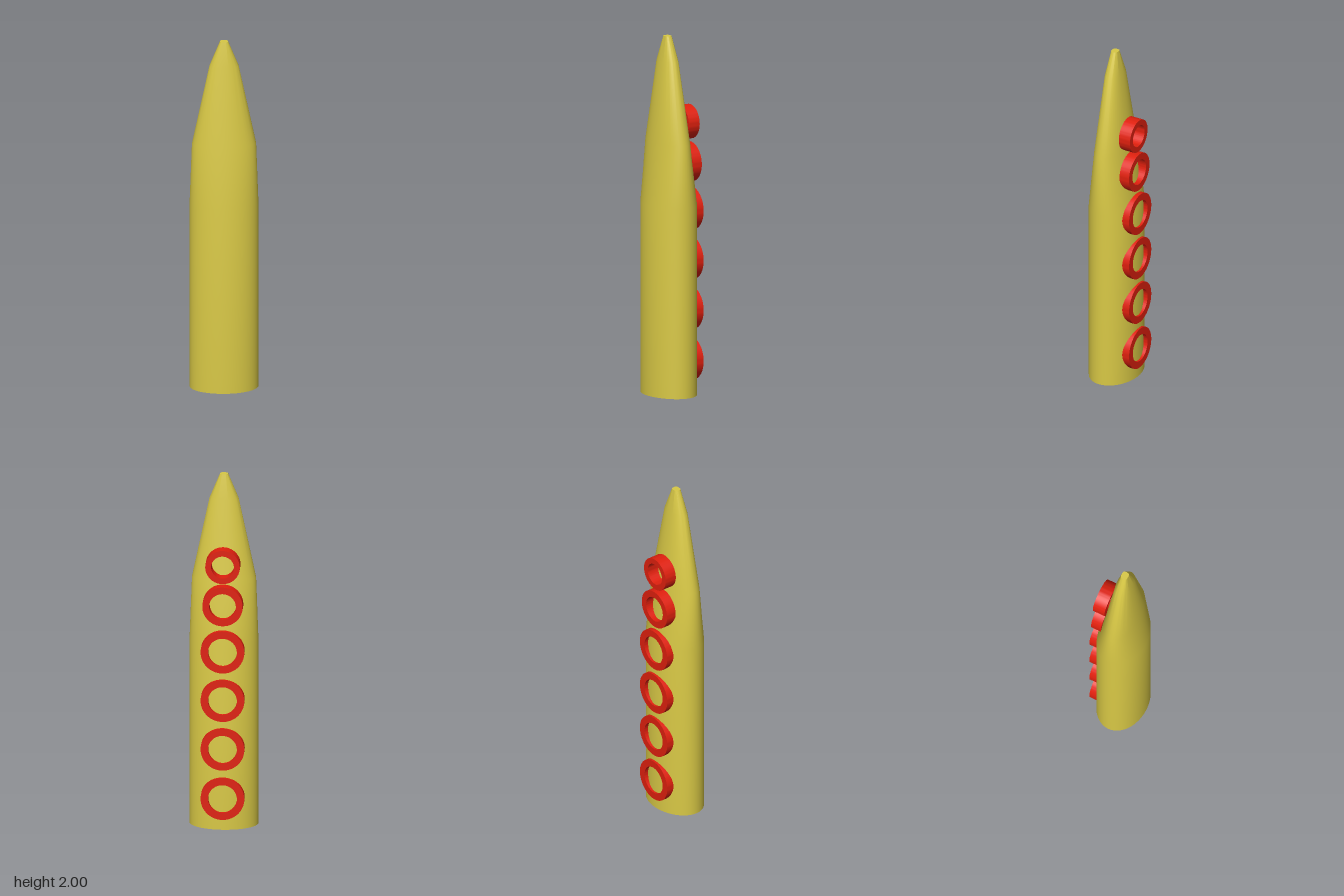
import * as THREE from 'three';
import { toCreasedNormals } from 'three/addons/utils/BufferGeometryUtils.js';

// Cross-sections of the body: height, half width, front z, back z, roundness power
const SECTIONS = [
  [0, 0.189, 0.143, -0.133, 1],
  [1.06, 0.189, 0.143, -0.133, 1],
  [1.41, 0.176, 0.1, -0.078, 1],
  [1.86, 0.08, 0.058, -0.032, 0.9],
  [2.0, 0.022, 0.033, -0.006, 0.65],
];

// Rings on the back: height, outer radius, inner z, outer z
const RINGS = [
  [0.18, 0.12, -0.08, -0.145],
  [0.463, 0.12, -0.08, -0.145],
  [0.742, 0.12, -0.08, -0.145],
  [1.02, 0.12, -0.08, -0.145],
  [1.28, 0.111, -0.079, -0.139],
  [1.505, 0.095, -0.065, -0.136],
];

// Elliptical shaft: a cylinder whose levels are moved onto the cross-sections
function bodyGeometry() {
  const n = SECTIONS.length - 1;
  const geo = new THREE.CylinderGeometry(1, 1, n, 48, n);
  const pos = geo.attributes.position;
  const bend = (v, p) => Math.sign(v) * Math.pow(Math.abs(v), p);
  for (let i = 0; i < pos.count; i++) {
    const level = Math.round(pos.getY(i) + n / 2);
    const [y, w, front, back, p] = SECTIONS[level];
    const x = bend(pos.getX(i), p) * w;
    const z = (front + back) / 2 + bend(pos.getZ(i), p) * (front - back) / 2;
    pos.setXYZ(i, x, y, z);
  }
  return toCreasedNormals(geo, 0.5);
}

// Flat-faced ring with a round hole, its axis along z
function ringGeometry(radius, depth) {
  const shape = new THREE.Shape().absarc(0, 0, radius, 0, Math.PI * 2, false);
  shape.holes.push(new THREE.Path().absarc(0, 0, radius * 0.66, 0, Math.PI * 2, true));
  const geo = new THREE.ExtrudeGeometry(shape, { depth, bevelEnabled: false, curveSegments: 40 });
  return toCreasedNormals(geo, 0.5);
}

export function createModel() {
  const yellow = new THREE.MeshStandardMaterial({ color: 0xd8c845 });
  yellow.name = 'yellow';
  const red = new THREE.MeshStandardMaterial({ color: 0xe0200e });
  red.name = 'red';

  const model = new THREE.Group();
  model.name = 'ringedShaft';

  const body = new THREE.Mesh(bodyGeometry(), yellow);
  body.name = 'body';
  model.add(body);

  // Row of rings up the back
  const rings = new THREE.Group();
  rings.name = 'backRings';
  RINGS.forEach(([y, radius, inner, outer], i) => {
    const ring = new THREE.Mesh(ringGeometry(radius, inner - outer), red);
    ring.name = `ring${i + 1}`;
    ring.position.set(0, y, outer);
    rings.add(ring);
  });
  model.add(rings);
  return model;
}
